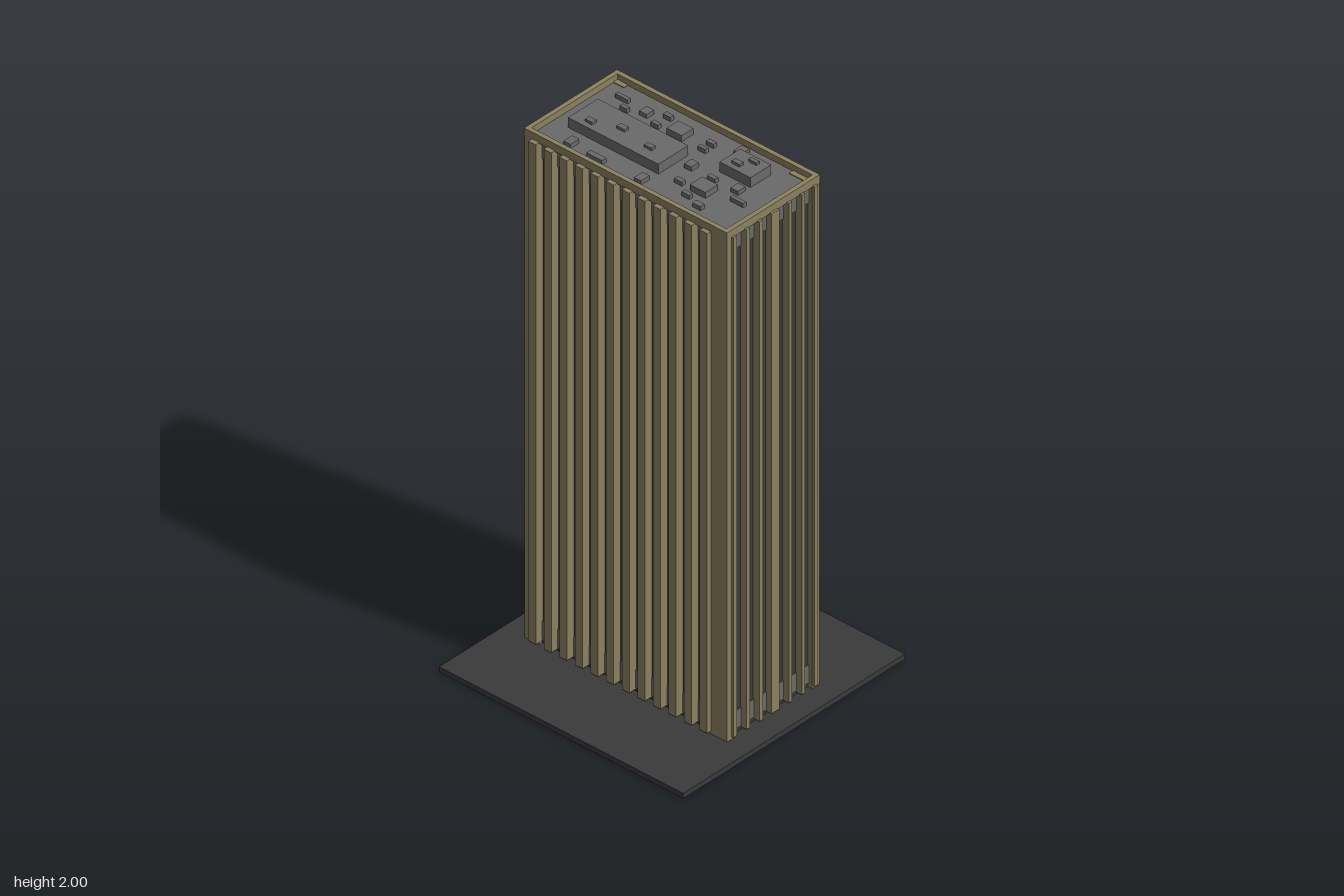
import * as THREE from 'three';

const mat = (color) => new THREE.MeshStandardMaterial({ color, flatShading: true });

export function createModel() {
  const tower = new THREE.Group();
  tower.name = 'officeTower';
  const tan = mat(0x8c8060), dark = mat(0x3a3a3a), grey = mat(0x6a6a6a);

  const group = (name) => {
    const g = new THREE.Group();
    g.name = name;
    tower.add(g);
    return g;
  };
  // Box given by its extents on each axis
  const box = (parent, name, material, [x0, x1], [y0, y1], [z0, z1]) => {
    const m = new THREE.Mesh(new THREE.BoxGeometry(x1 - x0, y1 - y0, z1 - z0), material);
    m.position.set((x0 + x1) / 2, (y0 + y1) / 2, (z0 + z1) / 2);
    m.name = name;
    parent.add(m);
  };
  const span = (s, a, b) => (s > 0 ? [a, b] : [-b, -a]);

  // Ground slab and dark glass core
  box(tower, 'groundSlab', dark, [-0.52, 0.52], [0, 0.02], [-0.52, 0.52]);
  box(tower, 'glassCore', dark, [-0.415, 0.415], [0.02, 1.95], [-0.202, 0.202]);

  // Grey spandrel bands at the foot and head of the windows
  for (const [y0, y1] of [[0.035, 0.105], [1.88, 1.952]])
    box(tower, 'spandrelBand', grey, [-0.418, 0.418], [y0, y1], [-0.205, 0.205]);

  // Solid corner piers, wider on the +x end
  const piers = group('cornerPiers');
  for (const s of [1, -1]) {
    box(piers, 'cornerPier', tan, [-0.432, -0.37], [0.02, 1.955], span(s, 0.182, 0.217));
    box(piers, 'cornerPier', tan, [0.333, 0.432], [0.02, 1.955], span(s, 0.182, 0.217));
  }

  // Vertical fins on the long faces
  const fins = group('facadeFins');
  for (const s of [1, -1]) {
    for (let i = 0; i < 12; i++) {
      const x = -0.383 + i * 0.0664;
      box(fins, 'longFaceFin', tan, [x - 0.016, x + 0.016], [0.03, 1.95], span(s, 0.2, 0.235));
    }
    // Fins on the short faces, the middle one wider
    for (const z of [-0.192, -0.131, -0.07, 0, 0.068, 0.128, 0.189]) {
      const h = z === 0 ? 0.018 : 0.008;
      box(fins, 'shortFaceFin', tan, span(s, 0.41, 0.441), [0.03, 1.95], [z - h, z + h]);
    }
  }

  // Parapet frame around the roof
  const frame = new THREE.Shape();
  const rect = (path, x, z) =>
    path.moveTo(-x, -z).lineTo(x, -z).lineTo(x, z).lineTo(-x, z).closePath();
  rect(frame, 0.432, 0.218);
  const hole = new THREE.Path();
  rect(hole, 0.415, 0.201);
  frame.holes.push(hole);
  const parapetGeo = new THREE.ExtrudeGeometry(frame, { depth: 0.03, bevelEnabled: false });
  parapetGeo.rotateX(-Math.PI / 2);
  const parapet = new THREE.Mesh(parapetGeo, tan);
  parapet.position.y = 1.946;
  parapet.name = 'parapet';
  tower.add(parapet);

  // Rooftop plant: x0, x1, z0, z1
  const roof = group('rooftopPlant');
  const place = (name, y0, y1, list) => list.forEach(([x0, x1, z0, z1]) =>
    box(roof, name, grey, [x0, x1], [y0, y1], [z0, z1]));
  place('plantRoom', 1.95, 1.99, [
    [-0.355, 0.03, -0.043, 0.097], [0.164, 0.295, -0.14, -0.043],
  ]);
  place('plantRoomVent', 1.99, 2.0, [
    [-0.3, -0.27, 0.057, 0.077], [-0.202, -0.168, 0.018, 0.038], [-0.068, -0.036, 0.038, 0.057],
    [0.23, 0.264, -0.12, -0.105], [0.197, 0.23, -0.082, -0.063],
  ]);
  place('mediumUnit', 1.95, 1.975, [
    [-0.1, -0.036, -0.14, -0.085], [0.164, 0.23, 0.038, 0.097],
  ]);
  place('smallUnit', 1.95, 1.968, [
    [-0.355, -0.302, -0.138, -0.124], [-0.3, -0.27, -0.1, -0.085], [-0.235, -0.203, -0.14, -0.105],
    [-0.168, -0.136, -0.16, -0.143], [-0.168, -0.136, -0.1, -0.085], [0.032, 0.064, -0.14, -0.124],
    [0.032, 0.064, -0.1, -0.085], [0.133, 0.164, -0.183, -0.143], [0.066, 0.097, -0.02, 0.016],
    [0.164, 0.197, 0, 0.016], [0.264, 0.295, -0.02, 0.016], [0.297, 0.353, 0.04, 0.055],
    [0.097, 0.13, 0.08, 0.097], [0.164, 0.197, 0.12, 0.136], [0.23, 0.264, 0.138, 0.158],
    [0, 0.03, 0.138, 0.178], [-0.202, -0.136, 0.158, 0.178], [-0.3, -0.27, 0.138, 0.178],
  ]);

  return tower;
}
